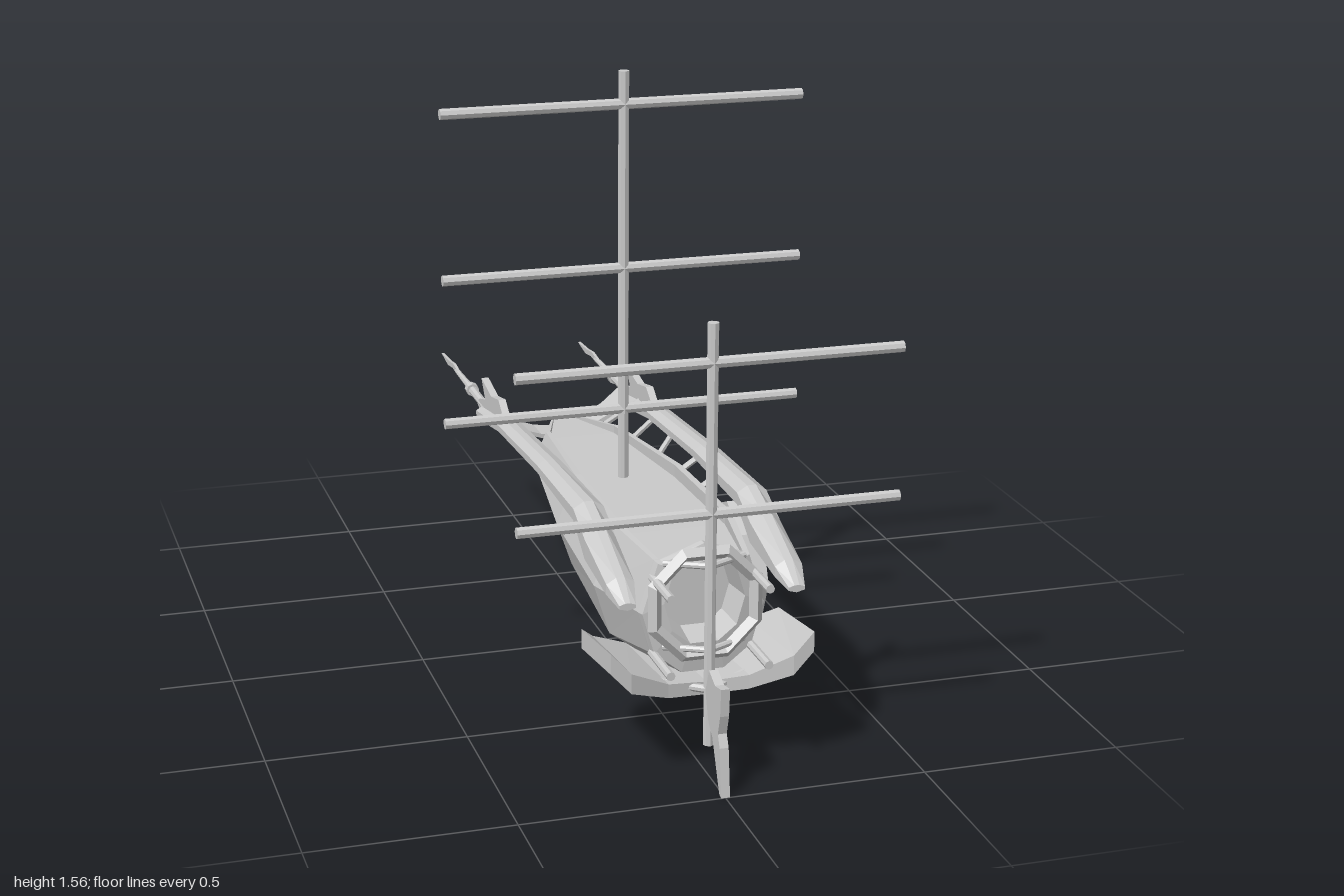
import * as THREE from 'three';

const mat = new THREE.MeshStandardMaterial({ color: 0xcccccc, flatShading: true, side: THREE.DoubleSide });

// Skin a row of equal-length rings of points and cap both ends
function loft(rings) {
  const out = [];
  const tri = (...ps) => ps.forEach(p => out.push(...p));
  const n = rings[0].length;
  for (let i = 0; i < rings.length - 1; i++) {
    for (let j = 0; j < n; j++) {
      const k = (j + 1) % n;
      const a = rings[i][j], b = rings[i][k], c = rings[i + 1][k], d = rings[i + 1][j];
      tri(a, d, c);
      tri(a, c, b);
    }
  }
  const first = rings[0], last = rings[rings.length - 1];
  for (let j = 1; j < n - 1; j++) {
    tri(first[0], first[j], first[j + 1]);
    tri(last[0], last[j + 1], last[j]);
  }
  const g = new THREE.BufferGeometry();
  g.setAttribute('position', new THREE.Float32BufferAttribute(out, 3));
  g.computeVertexNormals();
  return g;
}

// Flat plate drawn in (z, y), centred on the given x
function plate(points, x, thickness) {
  const shape = new THREE.Shape(points.map(p => new THREE.Vector2(p[0], p[1])));
  return new THREE.ExtrudeGeometry(shape, { depth: thickness, bevelEnabled: false })
    .translate(0, 0, -thickness / 2).rotateY(-Math.PI / 2).translate(x, 0, 0);
}

// Round rod between two points
function rod(a, b, r0, r1 = r0, sides = 8) {
  const A = new THREE.Vector3(...a), B = new THREE.Vector3(...b);
  const dir = B.clone().sub(A);
  const q = new THREE.Quaternion().setFromUnitVectors(new THREE.Vector3(0, 1, 0), dir.clone().normalize());
  const mid = A.add(B).multiplyScalar(0.5);
  return new THREE.CylinderGeometry(r1, r0, dir.length(), sides).applyQuaternion(q).translate(mid.x, mid.y, mid.z);
}

// Hull section: half width, rim height, bottom, deck height at the rim and at the middle
function hullRing(z, w, rim, bot, deck, centre) {
  const mid = bot + (rim - bot) * 0.56, low = bot + (rim - bot) * 0.19;
  const half = [[0.35, bot], [0.8, low], [1, mid], [0.75, rim], [0.66, rim], [0.66, deck]];
  return [...half.map(([k, y]) => [k * w, y, z]), [0, centre, z],
    ...half.reverse().map(([k, y]) => [-k * w, y, z])];
}

export function createModel() {
  const model = new THREE.Group();
  const add = (name, geo) => {
    const m = new THREE.Mesh(geo, mat);
    m.name = name;
    model.add(m);
  };

  // Faceted hull: recessed bow opening, then a sunken deck inside a low rim
  add('hull', loft([
    [0.74, 0.09, 0.505, 0.335, 0.505, 0.515],
    [0.83, 0.1, 0.515, 0.325, 0.515, 0.53],
    [0.82, 0.15, 0.53, 0.25, 0.53, 0.57],
    [0.8, 0.155, 0.532, 0.245, 0.532, 0.57],
    [0.795, 0.156, 0.532, 0.245, 0.52, 0.52],
    [0.58, 0.2, 0.548, 0.2, 0.518, 0.518],
    [0.2, 0.188, 0.545, 0.25, 0.513, 0.513],
    [-0.23, 0.135, 0.518, 0.34, 0.498, 0.498],
    [-0.49, 0.008, 0.487, 0.465, 0.485, 0.485],
  ].map(s => hullRing(...s))));
  add('bowRing', new THREE.TorusGeometry(0.135, 0.018, 4, 8).rotateZ(Math.PI / 8).translate(0, 0.425, 0.835));

  // Masts and their yards
  const masts = [
    { name: 'foreMast', z: 0.87, y0: 0.08, y1: 1.12, yards: [0.66, 1.025] },
    { name: 'mainMast', z: 0.155, y0: 0.27, y1: 1.565, yards: [0.695, 1.065, 1.482] },
  ];
  for (const m of masts) {
    add(m.name, rod([0, m.y0, m.z], [0, m.y1, m.z], 0.014));
    for (const y of m.yards) add(m.name + 'Yard', rod([-0.465, y, m.z], [0.465, y, m.z], 0.014));
  }
  add('keelPost', rod([0, 0.22, 0.135], [0, 0.29, 0.135], 0.03));
  add('keelNeck', rod([0, 0.19, 0.135], [0, 0.225, 0.135], 0.017));
  add('keelKnob', new THREE.SphereGeometry(0.025, 8, 6).translate(0, 0.187, 0.135));

  // Side rails with toothed tail fins and stern spars: z, low, high, half width
  const railStations = [[0.89, 0.45, 0.468, 0.02], [0.83, 0.453, 0.51, 0.034], [0.66, 0.462, 0.575, 0.038],
    [0.56, 0.54, 0.605, 0.038], [0.2, 0.55, 0.592, 0.034], [-0.2, 0.53, 0.566, 0.032], [-0.48, 0.478, 0.525, 0.026]];
  const tailFin = [[-0.12, 0.55], [-0.23, 0.562], [-0.29, 0.6], [-0.37, 0.585], [-0.48, 0.605], [-0.44, 0.555],
    [-0.5, 0.54], [-0.54, 0.52], [-0.46, 0.49], [-0.2, 0.535]];
  const blade = [[-0.79, 0.53], [-0.85, 0.537], [-0.91, 0.53], [-1, 0.526], [-0.92, 0.514], [-0.86, 0.522], [-0.8, 0.519]];
  for (const s of [1, -1]) {
    const x = 0.207 * s;
    add('sideRail', loft(railStations.map(([z, lo, hi, w]) => {
      const h = hi - lo;
      return [[x + w, lo + h * 0.3, z], [x + w, lo + h * 0.75, z], [x + w * 0.3, hi, z], [x - w * 0.3, hi, z],
        [x - w, lo + h * 0.75, z], [x - w, lo + h * 0.3, z], [x, lo, z]];
    })));
    add('tailFin', plate(tailFin, x, 0.02));
    add('sternSpar', rod([x, 0.523, -0.46], [x, 0.525, -0.64], 0.012));
    add('sparCollar', rod([x, 0.525, -0.625], [x, 0.525, -0.65], 0.018));
    add('sparTip', rod([x, 0.525, -0.64], [x, 0.525, -0.82], 0.01, 0.007));
    add('sparBlade', plate(blade, x, 0.008));
    // Bow guns
    for (const y of [0.49, 0.3]) add('bowGun', rod([0.12 * s, y, 0.8], [0.12 * s, y, 0.95], 0.011));
    // Braces from the bow ring and the lower guard to the fore mast
    for (const y of [0.53, 0.32]) add('bowBrace', rod([0.1 * s, y, 0.82], [0, y, 0.87], 0.008));
    add('guardBrace', rod([0, 0.22, 0.87], [0.16 * s, 0.24, 0.8], 0.01));
  }

  // Struts joining the hull to the left rail
  for (const z of [0.3, 0.15, 0, -0.15, -0.3]) {
    const inner = z < -0.2 ? 0.08 : z < 0 ? 0.11 : 0.14;
    add('railStrut', rod([inner, 0.5, z], [0.2, 0.54, z - (z < 0.1 ? 0.06 : 0)], 0.008, 0.008, 6));
  }

  // Sagging band that joins the rails at the stern
  const bandRings = [];
  for (let i = 0; i <= 8; i++) {
    const t = i / 4 - 1, y = 0.412 + 0.09 * t * t, z = 0.012 * (1 - t * t);
    bandRings.push([[0.2 * t, y, -0.465 - z], [0.2 * t, y + 0.012, -0.465 - z],
      [0.2 * t, y + 0.012, -0.572 + z], [0.2 * t, y, -0.572 + z]]);
  }
  add('sternBand', loft(bandRings));

  // Curved guard under the bow, lower at its back edge: x, front z, back z, low, high
  const guardHalf = [[0.25, 0.9, 0.65, 0.3, 0.35], [0.2, 0.9, 0.57, 0.245, 0.295],
    [0.1, 0.87, 0.52, 0.21, 0.245], [0, 0.85, 0.51, 0.2, 0.232]];
  const guard = [...guardHalf.map(g => [-g[0], ...g.slice(1)]), ...guardHalf.slice(0, 3).reverse()];
  add('bowGuard', loft(guard.map(([x, zf, zb, lo, hi]) =>
    [[x, lo, zf], [x, hi, zf], [x, hi - 0.035, zb], [x, lo - 0.035, zb]])));

  // Octagonal shield on the left side
  const oct = r => Array.from({ length: 8 }, (_, i) =>
    [0.478 + r * Math.sin(i * Math.PI / 4), 0.375 + r * Math.cos(i * Math.PI / 4)]);
  const rim = new THREE.Shape(oct(0.163).map(p => new THREE.Vector2(...p)));
  rim.holes.push(new THREE.Path(oct(0.14).map(p => new THREE.Vector2(...p))));
  add('shieldRim', new THREE.ExtrudeGeometry(rim, { depth: 0.055, bevelEnabled: false })
    .rotateY(-Math.PI / 2).translate(0.226, 0, 0));
  add('shieldFace', plate(oct(0.142), 0.195, 0.04));

  // Forked fin ahead of the bow and toothed keel fin astern
  add('bowFin', plate([[0.99, 0.27], [0.945, 0.262], [0.9, 0.282], [0.875, 0.22], [0.9, 0.15], [0.93, 0.125],
    [0.985, 0.005], [1, 0.0], [0.985, 0.12], [0.97, 0.15], [0.985, 0.2]], 0, 0.022));
  add('keelFin', plate([[0.12, 0.275], [-0.1, 0.3], [-0.3, 0.345], [-0.43, 0.385], [-0.49, 0.415], [-0.57, 0.41],
    [-0.55, 0.385], [-0.59, 0.36], [-0.52, 0.355], [-0.45, 0.325], [-0.48, 0.285], [-0.39, 0.3], [-0.28, 0.295],
    [-0.32, 0.265], [-0.22, 0.28], [-0.12, 0.272], [-0.15, 0.25], [-0.06, 0.263], [0.12, 0.25]], 0, 0.015));
  return model;
}
